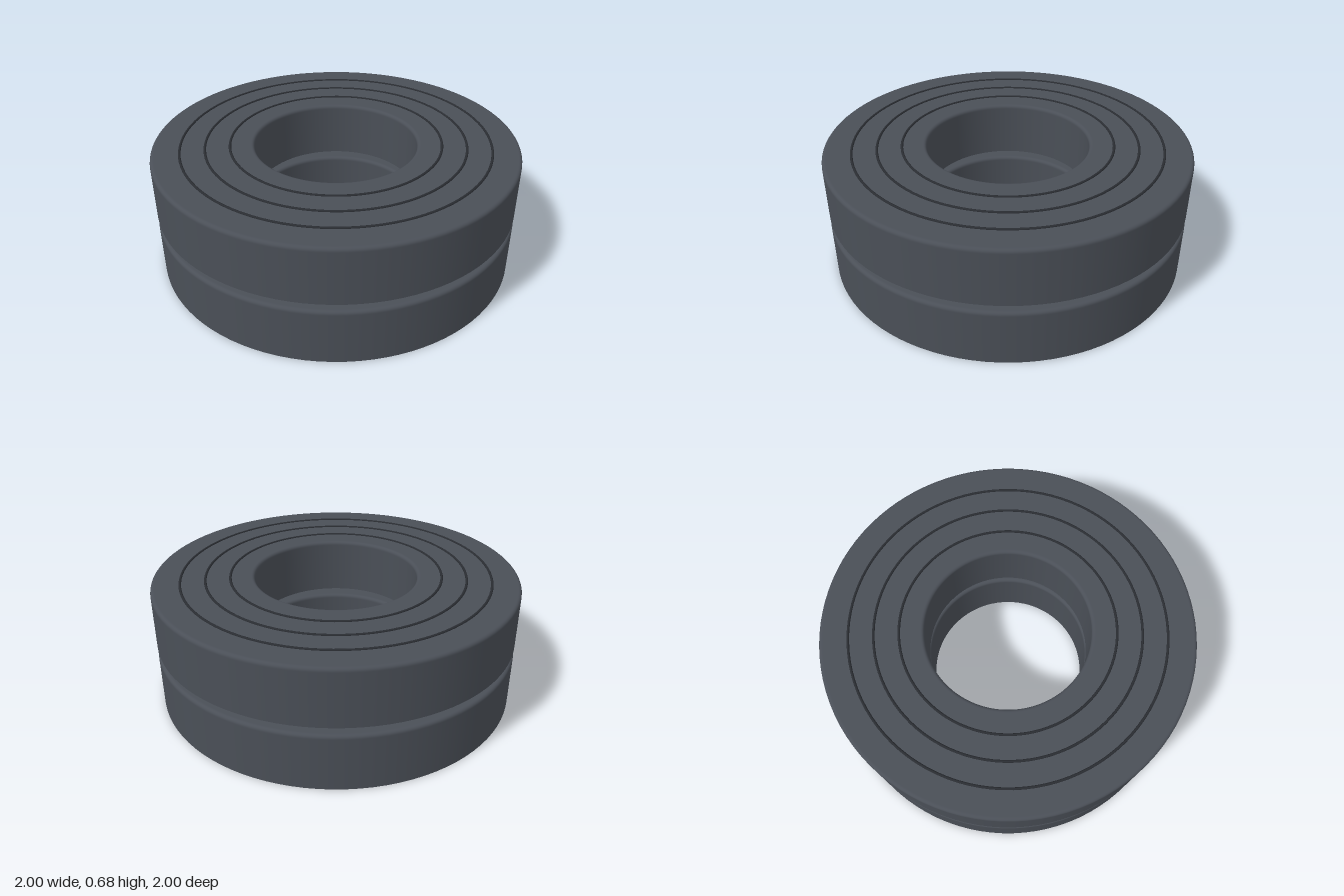
import * as THREE from 'three';

const OUTER = 1, INNER = 0.445, HEIGHT = 0.312, SPACING = 0.357, BEVEL = 0.018;

// Open-bottomed channel section: outer wall, rounded shoulders, flat top, inner wall
function shellGeometry() {
  const pts = [new THREE.Vector2(OUTER, 0), new THREE.Vector2(OUTER, HEIGHT - BEVEL - 0.004)];
  const corner = (cx, from) => {
    for (let i = 0; i <= 6; i++) {
      const a = from + (i / 6) * Math.PI / 2;
      pts.push(new THREE.Vector2(cx + BEVEL * Math.cos(a), HEIGHT - BEVEL + BEVEL * Math.sin(a)));
    }
  };
  corner(OUTER - BEVEL, 0);
  pts.push(new THREE.Vector2(OUTER - BEVEL - 0.004, HEIGHT));
  pts.push(new THREE.Vector2(INNER + BEVEL + 0.004, HEIGHT));
  corner(INNER + BEVEL, Math.PI / 2);
  pts.push(new THREE.Vector2(INNER, HEIGHT - BEVEL - 0.004), new THREE.Vector2(INNER, 0));
  return new THREE.LatheGeometry(pts, 96);
}

export function createModel() {
  const model = new THREE.Group();
  model.name = 'stackedRings';

  const shellMat = new THREE.MeshStandardMaterial({ color: 0x4a4f57, side: THREE.DoubleSide });
  shellMat.name = 'slate grey';
  const ridgeMat = new THREE.MeshStandardMaterial({ color: 0x2a2d32 });
  ridgeMat.name = 'dark grey';

  const shellGeo = shellGeometry();
  ['lowerRing', 'upperRing'].forEach((name, level) => {
    const ring = new THREE.Group();
    ring.name = name;
    ring.position.y = level * SPACING;

    const shell = new THREE.Mesh(shellGeo, shellMat);
    shell.name = 'shell';
    ring.add(shell);

    // Thin concentric ridges half sunk in the top face
    [0.578, 0.712, 0.846].forEach((radius) => {
      const ridge = new THREE.Mesh(new THREE.TorusGeometry(radius, 0.007, 8, 96), ridgeMat);
      ridge.name = 'ridge';
      ridge.rotation.x = Math.PI / 2;
      ridge.position.y = HEIGHT;
      ring.add(ridge);
    });
    model.add(ring);
  });
  return model;
}
